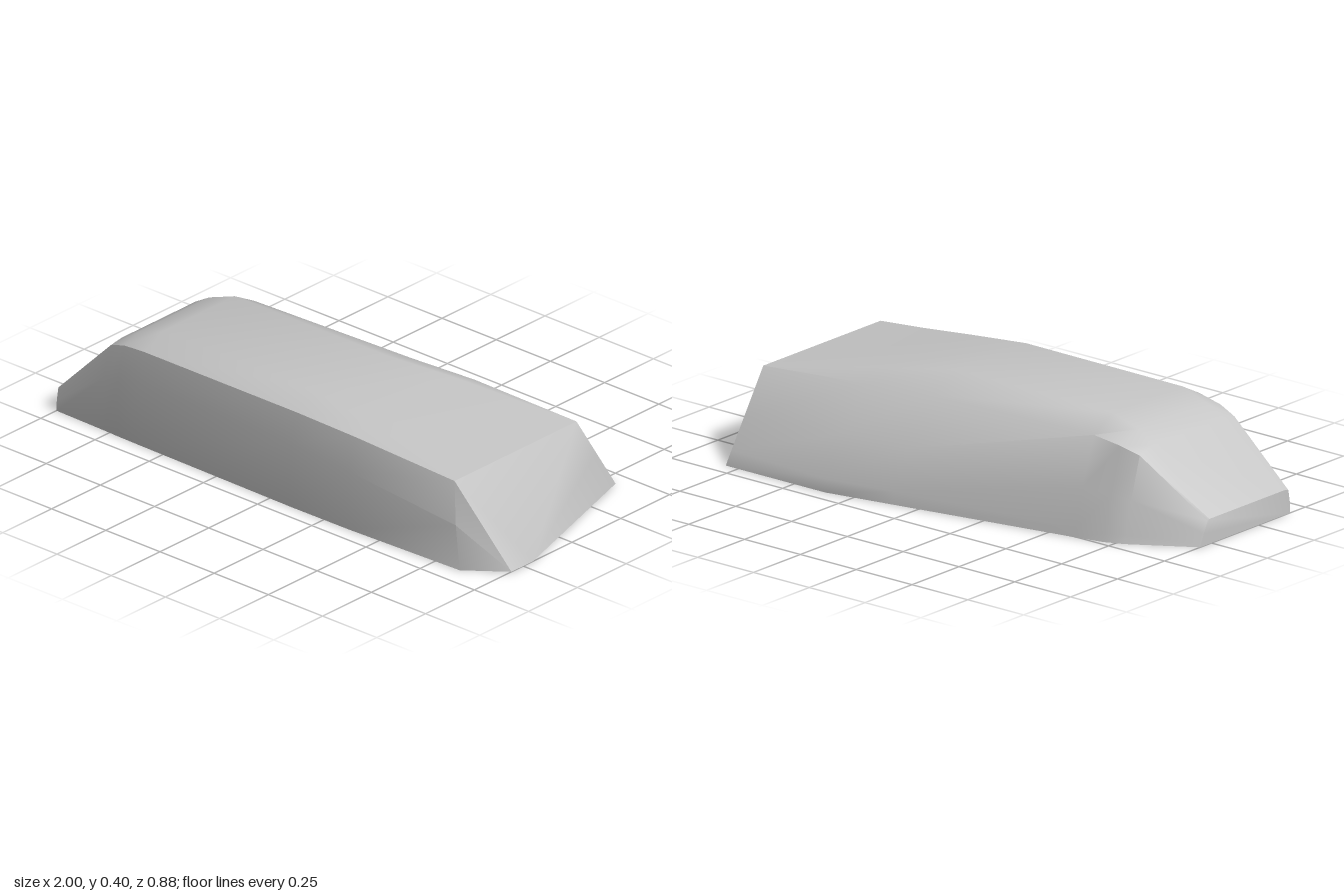
import * as THREE from 'three';
import { toCreasedNormals } from 'three/addons/utils/BufferGeometryUtils.js';

// Cross-sections along x: [z, y] from the front base over the top to the back base
const sections = [
  [-1.0, [[.42, 0], [.418, .04], [.41, .085], [.39, .09], [-.01, .09], [-.02, .085], [-.04, .045], [-.055, .01], [-.06, 0]]],
  [-.78, [[.425, 0], [.42, .2], [.385, .31], [.33, .318], [-.05, .318], [-.12, .3], [-.165, .15], [-.193, .03], [-.2, 0]]],
  [-.71, [[.428, 0], [.425, .22], [.395, .335], [.32, .36], [-.04, .36], [-.14, .325], [-.19, .16], [-.223, .03], [-.23, 0]]],
  [-.6, [[.43, 0], [.43, .24], [.41, .35], [.32, .397], [-.05, .397], [-.15, .343], [-.21, .17], [-.249, .03], [-.255, 0]]],
  [.1, [[.44, 0], [.438, .24], [.413, .352], [.32, .4], [-.05, .4], [-.18, .342], [-.3, .18], [-.383, .045], [-.39, 0]]],
  [.36, [[.438, 0], [.435, .22], [.403, .34], [.335, .37], [-.125, .37], [-.212, .334], [-.35, .19], [-.44, .05], [-.44, 0]]],
  [.805, [[.42, 0], [.412, .16], [.385, .31], [.375, .31], [-.23, .31], [-.24, .31], [-.34, .155], [-.41, .047], [-.44, 0]]],
];

function rockGeometry() {
  const points = [], index = [];
  const n = sections[0][1].length, last = sections.length - 1;
  sections.forEach(([x, ring], i) => ring.forEach(([z, y], j) => {
    // the front lower corner of the blunt end reaches further out
    const reach = i === last ? [.055, .03][j] || 0 : 0;
    points.push(x + reach, y, z);
  }));
  const at = (i, j) => i * n + j;
  const quad = (a, b, c, d) => index.push(a, b, c, a, c, d);

  // Long sides, top and flat underside
  for (let i = 0; i < last; i++) {
    for (let j = 0; j < n - 1; j++) quad(at(i, j), at(i + 1, j), at(i + 1, j + 1), at(i, j + 1));
    quad(at(i, 0), at(i, n - 1), at(i + 1, n - 1), at(i + 1, 0));
  }
  // Small upright face at the tapered end
  for (let j = 1; j < n - 1; j++) index.push(at(0, 0), at(0, j), at(0, j + 1));

  // Sloping facets running down to a short toe at the blunt end
  const p = points.length / 3, q = p + 1;
  points.push(1, 0, .31, 1, 0, .2);
  for (let j = 0; j < n - 1; j++) index.push(j < 2 ? p : q, at(last, j + 1), at(last, j));
  index.push(p, q, at(last, 2));
  quad(at(last, 0), at(last, n - 1), q, p);

  const geometry = new THREE.BufferGeometry();
  geometry.setAttribute('position', new THREE.Float32BufferAttribute(points, 3));
  geometry.setIndex(index);
  return toCreasedNormals(geometry, .75);
}

export function createModel() {
  const stone = new THREE.MeshStandardMaterial({ color: 0xc5c5c5 });
  stone.name = 'pale stone grey';
  const rock = new THREE.Mesh(rockGeometry(), stone);
  rock.name = 'rock';
  const group = new THREE.Group();
  group.name = 'longRock';
  group.add(rock);
  return group;
}
